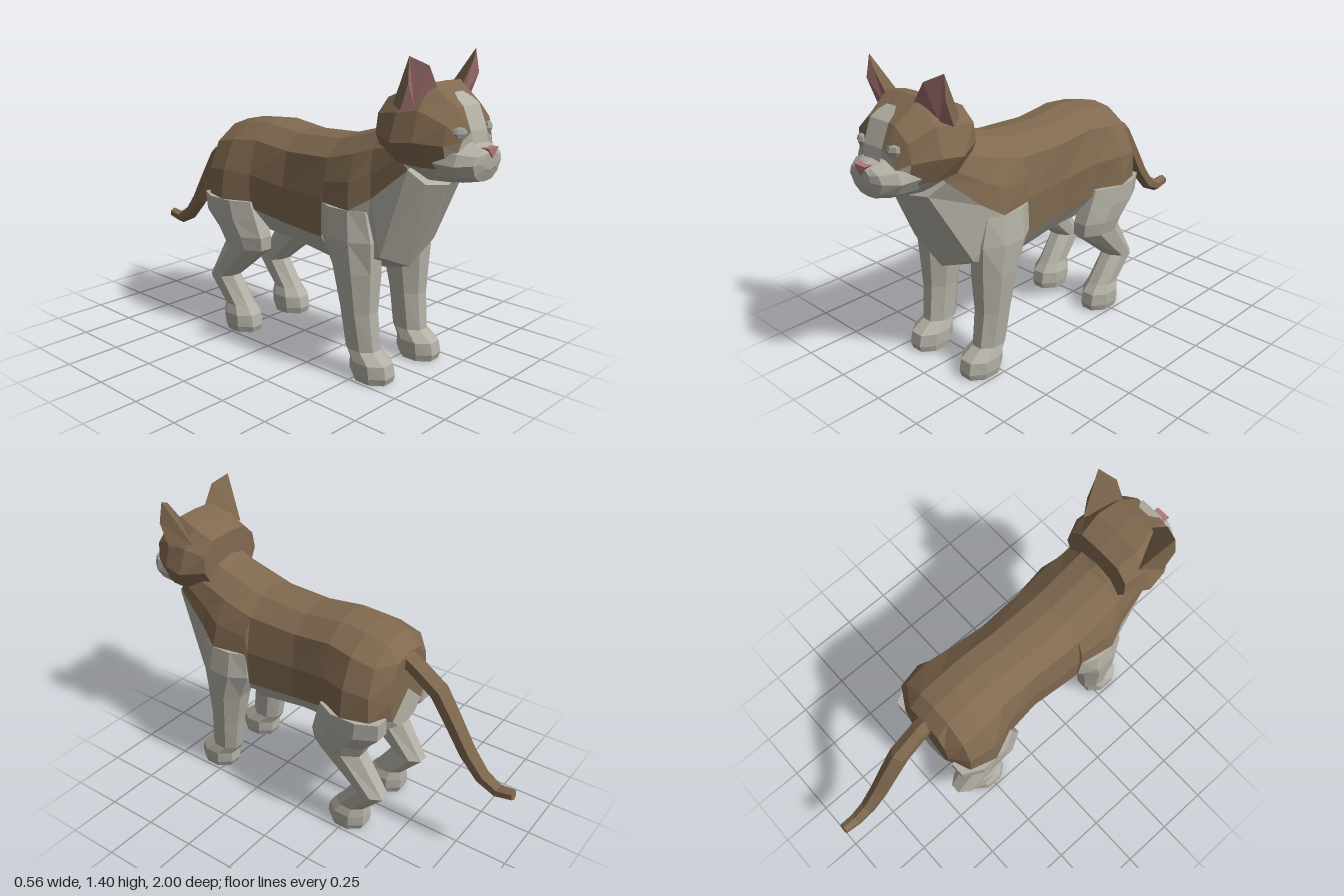
import * as THREE from 'three';

const mat = (name, color) => Object.assign(new THREE.MeshStandardMaterial({ color }), { name });
const mix = THREE.MathUtils.lerp;

// Mesh from triangles sorted by material; unshared corners keep every facet flat
function facets(name, materials, tris) {
  const pos = [];
  const geo = new THREE.BufferGeometry();
  materials.forEach((m, k) => {
    const start = pos.length / 3;
    tris.filter(t => t.m === k).forEach(t => t.p.forEach(v => pos.push(...v)));
    geo.addGroup(start, pos.length / 3 - start, k);
  });
  geo.setAttribute('position', new THREE.Float32BufferAttribute(pos, 3));
  geo.computeVertexNormals();
  const mesh = new THREE.Mesh(geo, materials);
  mesh.name = name;
  return mesh;
}

// Skin over closed rings, capped at both ends; pick(step, column) gives the material index
function loft(name, materials, rings, pick = () => 0) {
  const tris = [], n = rings[0].length, last = rings.length - 1;
  const mid = r => [0, 1, 2].map(a => r.reduce((s, p) => s + p[a], 0) / n);
  const c0 = mid(rings[0]), c1 = mid(rings[last]);
  for (let j = 0; j < n; j++) {
    const k = (j + 1) % n;
    for (let i = 0; i < last; i++) {
      const m = pick(i, j), a = rings[i], b = rings[i + 1];
      tris.push({ m, p: [a[j], b[j], b[k]] }, { m, p: [a[j], b[k], a[k]] });
    }
    tris.push({ m: pick(-1, j), p: [c0, rings[0][j], rings[0][k]] });
    tris.push({ m: pick(last, j), p: [c1, rings[last][k], rings[last][j]] });
  }
  return facets(name, materials, tris);
}

// Symmetric ring from half a section, top to bottom, leaning from z = zt to z = zb
function section(zt, zb, half) {
  const top = half[0][1], low = half[half.length - 1][1];
  const right = half.map(([x, y]) => [x, y, mix(zt, zb, (top - y) / (top - low))]);
  const left = right.slice(1, -1).reverse().map(([x, y, z]) => [-x, y, z]);
  return [...right, ...left];
}
const fold = j => Math.min(j, 11 - j);

// Trunk section: the edge point is where brown meets pale fur
const trunkRing = ([zt, zb, top, wHigh, wMid, wEdge, yEdge, wLow, bottom]) => section(zt, zb, [
  [0, top], [.09, top - .014], [wHigh, top - .085], [wMid, mix(top - .085, yEdge, .5)],
  [wEdge, yEdge], [wLow, mix(bottom, yEdge, .25)], [0, bottom]]);

// Head section: crown, temple, cheek, jaw and chin
const headRing = ([zt, zb, top, wTop, wHigh, wMid, yMid, bottom]) => section(zt, zb, [
  [0, top], [wTop, top - .005], [wHigh, mix(top, yMid, .45)], [wMid, yMid],
  [wMid * .8, mix(yMid, bottom, .6)], [wMid * .45, bottom + .005], [0, bottom]]);

// Eight-sided leg ring: inner x, outer x, front z, back z, front y, back y
function legRing(s, [x0, x1, zf, zb, yf, yb = yf]) {
  const k = 1 / Math.cos(Math.PI / 8);
  return Array.from({ length: 8 }, (_, i) => {
    const a = (i + 0.5) * Math.PI / 4, c = Math.cos(a) * k, d = Math.sin(a) * k;
    return [s * (x0 + x1) / 2 + c * (x1 - x0) / 2, (yf + yb) / 2 + d * (yf - yb) / 2, (zf + zb) / 2 + d * (zf - zb) / 2];
  });
}

// Paw rings behind toe position z
const paw = z => [[.095, .235, z - .01, z - .185, 0], [.09, .242, z, z - .2, .03], [.09, .242, z - .01, z - .2, .085]];

export function createModel() {
  const brown = mat('brown fur', 0x80694f);
  const white = mat('pale fur', 0xb2afa4);
  const pink = mat('inner ear pink', 0x9c6c6c);
  const nosePink = mat('nose pink', 0xb07878);
  const eyeGrey = mat('eyelid grey', 0x9a9c94);
  const cat = new THREE.Group();
  cat.name = 'cat';

  // Body, rump to neck
  const body = [
    [-.445, -.445, .93, .13, .15, .12, .63, .07, .56],
    [-.38, -.4, 1, .19, .24, .24, .67, .17, .55],
    [-.27, -.27, 1.025, .2, .262, .278, .67, .2, .53],
    [-.14, -.14, 1.035, .18, .22, .22, .64, .15, .5],
    [.05, .05, 1.01, .17, .195, .19, .6, .12, .475],
    [.3, .3, 1.02, .18, .215, .21, .59, .13, .44],
    [.31, .31, 1.022, .18, .212, .22, .745, .15, .44],
    [.44, .52, 1.06, .18, .23, .25, .75, .19, .45],
    [.53, .62, 1.09, .17, .2, .21, .81, .19, .48],
    [.58, .8, 1.12, .17, .185, .18, .95, .13, .87],
  ].map(trunkRing);
  cat.add(loft('body', [brown, white], body, (i, j) => +(fold(j) >= 4)));

  // Head with pale jaw and cheeks
  const head = [
    [.57, .56, 1.22, .11, .17, .18, 1.08, .97],
    [.67, .68, 1.265, .12, .19, .235, 1.06, .92],
    [.77, .78, 1.29, .1, .185, .22, 1.07, .9],
    [.885, .87, 1.205, .08, .15, .16, 1.06, .9],
    [.925, .91, 1.11, .05, .1, .12, 1.04, .91],
  ].map(headRing);
  cat.add(loft('head', [brown, white], head,
    (i, j) => +(i >= 4 || (i === 3 && fold(j) >= 3) || (i >= 1 && fold(j) >= 4))));

  // Muzzle
  const muzzle = [
    [.84, .82, 1.07, .07, .15, .16, .99, .9],
    [.925, .91, 1.07, .06, .13, .147, .985, .905],
    [.98, .97, 1.05, .04, .085, .1, .99, .915],
    [.994, .99, 1.04, .03, .045, .05, .99, .965],
  ].map(headRing);
  cat.add(loft('muzzle', [white], muzzle));

  // Nose
  const tri = new THREE.Shape([[-.036, 1.052], [0, 1.012], [.036, 1.052]].map(p => new THREE.Vector2(...p)));
  const nose = new THREE.Mesh(new THREE.ExtrudeGeometry(tri, { depth: 0.04, bevelEnabled: false }), nosePink);
  nose.position.z = 0.96;
  nose.name = 'nose';
  cat.add(nose);

  // Blaze: thin strip down the forehead, rows of half width, y, z
  const rows = [[.028, 1.252, .83], [.05, 1.23, .861], [.056, 1.207, .892], [.056, 1.112, .932], [.05, 1.06, .94]];
  const blaze = [];
  for (let i = 0; i < rows.length - 1; i++) {
    const [[w, y, z], [v, b, c]] = [rows[i], rows[i + 1]];
    blaze.push({ m: 0, p: [[-w, y, z], [-v, b, c], [v, b, c]] }, { m: 0, p: [[-w, y, z], [v, b, c], [w, y, z]] });
  }
  cat.add(facets('blaze', [white], blaze));

  const frontLeg = [
    ...paw(.66), [.105, .228, .585, .43, .13], [.1, .243, .567, .405, .3],
    [.08, .262, .575, .365, .48], [.1, .268, .58, .305, .62], [.14, .252, .55, .31, .75],
  ];
  const hindLeg = [
    ...paw(-.155), [.105, .228, -.2, -.35, .125], [.11, .232, -.295, -.455, .26, .235],
    [.1, .25, -.08, -.33, .435], [.1, .265, -.075, -.36, .5], [.1, .276, -.1, -.435, .58], [.12, .277, -.13, -.44, .668],
  ];

  for (const s of [1, -1]) {
    const side = s > 0 ? 'left' : 'right';

    // Legs
    cat.add(loft(side + 'FrontLeg', [white], frontLeg.map(r => legRing(s, r))));
    cat.add(loft(side + 'HindLeg', [white], hindLeg.map(r => legRing(s, r))));

    // Ear: pink hollow in front, brown shell behind
    const at = ([x, y, z]) => [s * x, y, z];
    const rim = [[.085, 1.27, .79], [.15, 1.362, .795], [.225, 1.4, .755], [.24, 1.3, .765], [.235, 1.19, .725]].map(at);
    const hollow = at([.165, 1.2, .74]), back = at([.17, 1.2, .64]);
    const ear = [];
    for (let i = 0; i < rim.length - 1; i++) {
      const [p, q] = s > 0 ? [rim[i], rim[i + 1]] : [rim[i + 1], rim[i]];
      ear.push({ m: 0, p: [hollow, q, p] }, { m: 1, p: [back, p, q] });
    }
    cat.add(facets(side + 'Ear', [pink, brown], ear));

    // Closed eye
    const eye = new THREE.Mesh(new THREE.SphereGeometry(1, 6, 4).toNonIndexed(), eyeGrey);
    eye.geometry.computeVertexNormals();
    eye.scale.set(.036, .026, .02);
    eye.position.set(s * .1, 1.108, .908);
    eye.rotation.y = s * 0.5;
    eye.name = side + 'Eye';
    cat.add(eye);
  }

  // Tail: tapering six-sided sweep along z, y, radius
  const path = [[-.42, .9, .045], [-.47, .875, .045], [-.6, .785, .047], [-.68, .66, .044], [-.76, .53, .041],
    [-.84, .435, .036], [-.92, .393, .031], [-.995, .405, .026]];
  const tail = path.map(([z, y, r], i) => {
    const a = path[Math.max(i - 1, 0)], b = path[Math.min(i + 1, path.length - 1)];
    const len = Math.hypot(b[0] - a[0], b[1] - a[1]);
    const nz = (b[1] - a[1]) / len, ny = -(b[0] - a[0]) / len;
    return Array.from({ length: 6 }, (_, k) => {
      const t = k * Math.PI / 3, c = Math.cos(t) * r;
      return [Math.sin(t) * r, y + ny * c, z + nz * c];
    });
  }).reverse();
  cat.add(loft('tail', [brown], tail));

  return cat;
}
